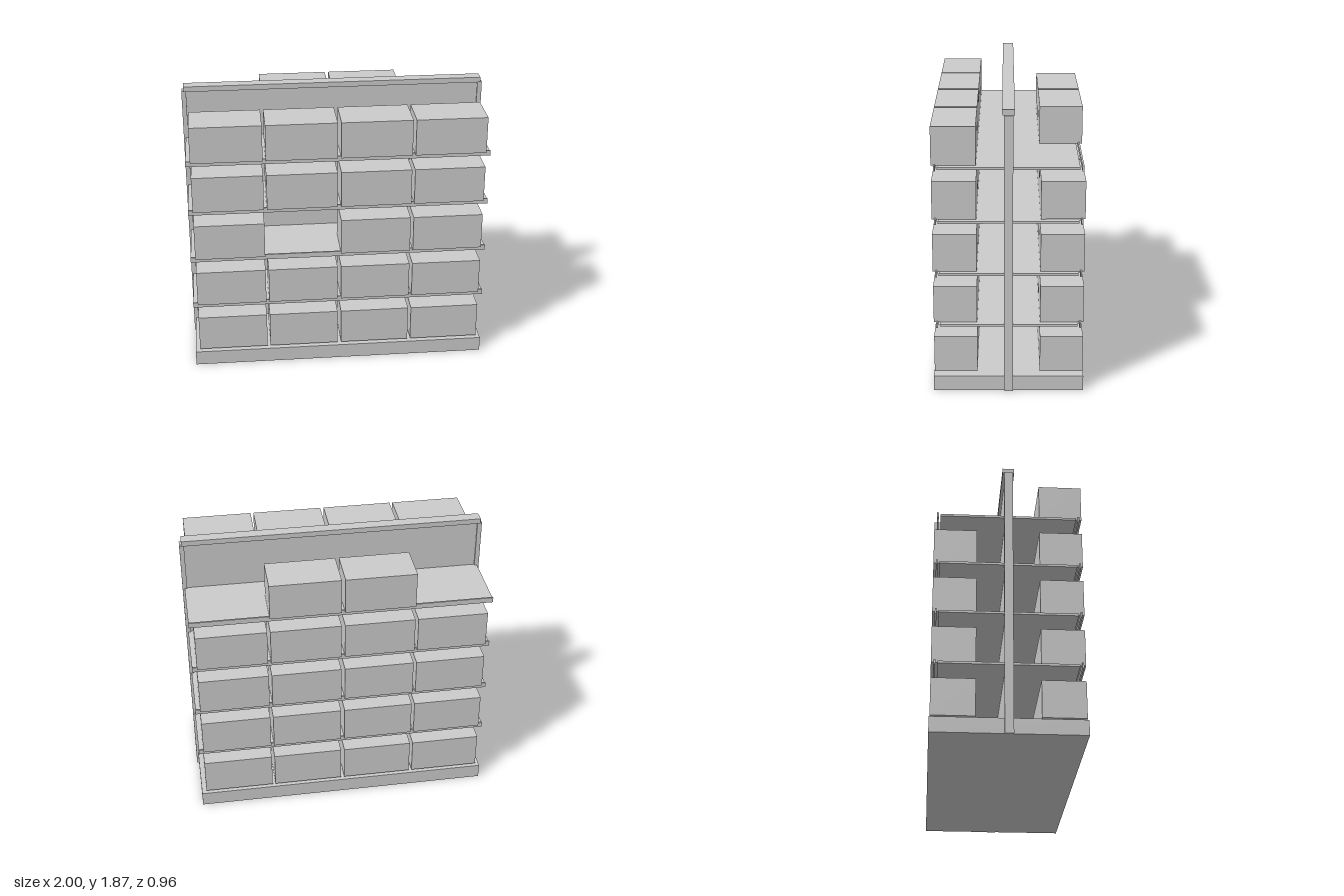
import * as THREE from 'three';

export function createModel() {
  const model = new THREE.Group();
  const material = new THREE.MeshStandardMaterial({ color: 0xcccccc, flatShading: true });

  // Box given by its extents along each axis
  function box(name, [x0, x1], [y0, y1], [z0, z1], parent = model) {
    const mesh = new THREE.Mesh(new THREE.BoxGeometry(x1 - x0, y1 - y0, z1 - z0), material);
    mesh.position.set((x0 + x1) / 2, (y0 + y1) / 2, (z0 + z1) / 2);
    mesh.name = name;
    parent.add(mesh);
  }

  const full = [-0.987, 0.987];

  // Central frame: plinth, back panel, end posts and top cap
  box('plinth', full, [0, 0.1], [-0.48, 0.48]);
  box('backPanel', [-0.97, 0.97], [0.1, 1.83], [-0.018, 0.018]);
  box('leftPost', [0.97, 1], [0, 1.83], [-0.028, 0.028]);
  box('rightPost', [-1, -0.97], [0, 1.83], [-0.028, 0.028]);
  box('topCap', full, [1.83, 1.865], [-0.038, 0.038]);

  // Both faces carry five rows; the lowest row sits above the plinth
  const columns = [-0.725, -0.243, 0.243, 0.725];
  for (const side of [1, -1]) {
    const face = new THREE.Group();
    face.name = side > 0 ? 'frontFace' : 'backFace';
    model.add(face);
    const depth = (near, far) => (side > 0 ? [near, far] : [-far, -near]);

    for (let row = 0; row < 5; row++) {
      const y = 0.121 + row * 0.3465;

      // Shelf with a thin upright lip held just off its front edge
      if (row > 0) {
        box('shelf', full, [y - 0.018, y - 0.003], depth(0.018, 0.436), face);
        box('shelfLip', full, [y - 0.027, y + 0.008], depth(0.448, 0.459), face);
      }

      // Cartons, leaving a few empty spots
      columns.forEach((x, column) => {
        const frontGap = side > 0 && row === 2 && column === 1;
        const backGap = side < 0 && row === 4 && (column === 0 || column === 3);
        if (frontGap || backGap) return;
        box('carton', [x - 0.231, x + 0.231], [y, y + 0.245], depth(0.2, 0.475), face);
      });
    }
  }
  return model;
}
